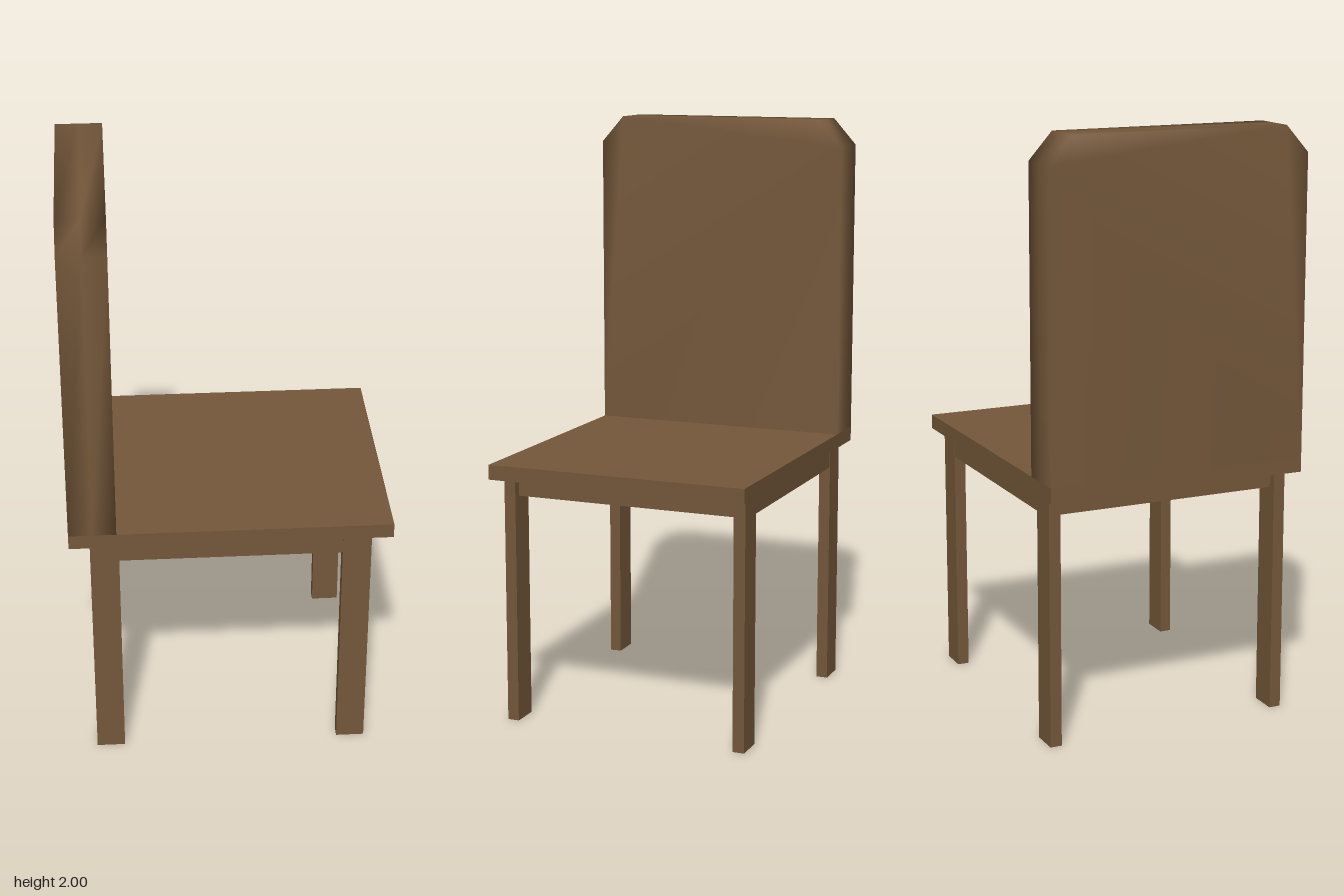
import * as THREE from 'three';
import { mergeVertices } from 'three/addons/utils/BufferGeometryUtils.js';

export function createModel() {
  const group = new THREE.Group();
  const wood = new THREE.MeshStandardMaterial({ color: 0x74573a });
  wood.name = 'brown wood';

  const add = (name, geometry) => {
    const mesh = new THREE.Mesh(geometry, wood);
    mesh.name = name;
    group.add(mesh);
    return mesh;
  };
  // box given by its extents on each axis
  const box = (name, x0, x1, y0, y1, z0, z1) =>
    add(name, new THREE.BoxGeometry(x1 - x0, y1 - y0, z1 - z0))
      .position.set((x0 + x1) / 2, (y0 + y1) / 2, (z0 + z1) / 2);

  // seat board
  box('seat', -0.537, 0.537, 0.85, 0.9, -0.452, 0.452);

  // backrest: upright slab with clipped top corners and softly shaded edges
  const outline = new THREE.Shape([
    [-0.452, 0.9], [0.452, 0.9], [0.452, 1.91], [0.372, 2], [-0.372, 2], [-0.452, 1.91],
  ].map(([x, y]) => new THREE.Vector2(x, y)));
  let back = new THREE.ExtrudeGeometry(outline, { depth: 0.158, steps: 2, bevelEnabled: false });
  back.rotateY(Math.PI / 2).translate(-0.537, 0, 0);
  back.deleteAttribute('uv');
  back.deleteAttribute('normal');
  back = mergeVertices(back, 1e-4);
  back.computeVertexNormals();
  // keep shading level where the slab meets the seat
  const { position, normal } = back.attributes;
  const n = new THREE.Vector3();
  for (let i = 0; i < position.count; i++) {
    if (position.getY(i) > 0.91) continue;
    n.fromBufferAttribute(normal, i).setY(0).normalize();
    normal.setXYZ(i, n.x, n.y, n.z);
  }
  back.clearGroups();
  add('backrest', back);

  // legs, and the apron rails that join them under the seat
  for (const s of [-1, 1]) {
    const side = s > 0 ? 'left' : 'right';
    for (const t of [-1, 1]) {
      const end = t > 0 ? 'front' : 'rear';
      const x = s * 0.42, z = t * 0.41;
      box(`${side} ${end} leg`, x - 0.048, x + 0.048, 0, 0.85, z - 0.02, z + 0.02);
    }
    box(`${side} apron`, s * 0.42 - 0.02, s * 0.42 + 0.02, 0.78, 0.85, -0.39, 0.39);
    box(`${s > 0 ? 'front' : 'rear'} apron`, -0.372, 0.372, 0.78, 0.85, s * 0.41 - 0.018, s * 0.41 + 0.018);
  }
  return group;
}
